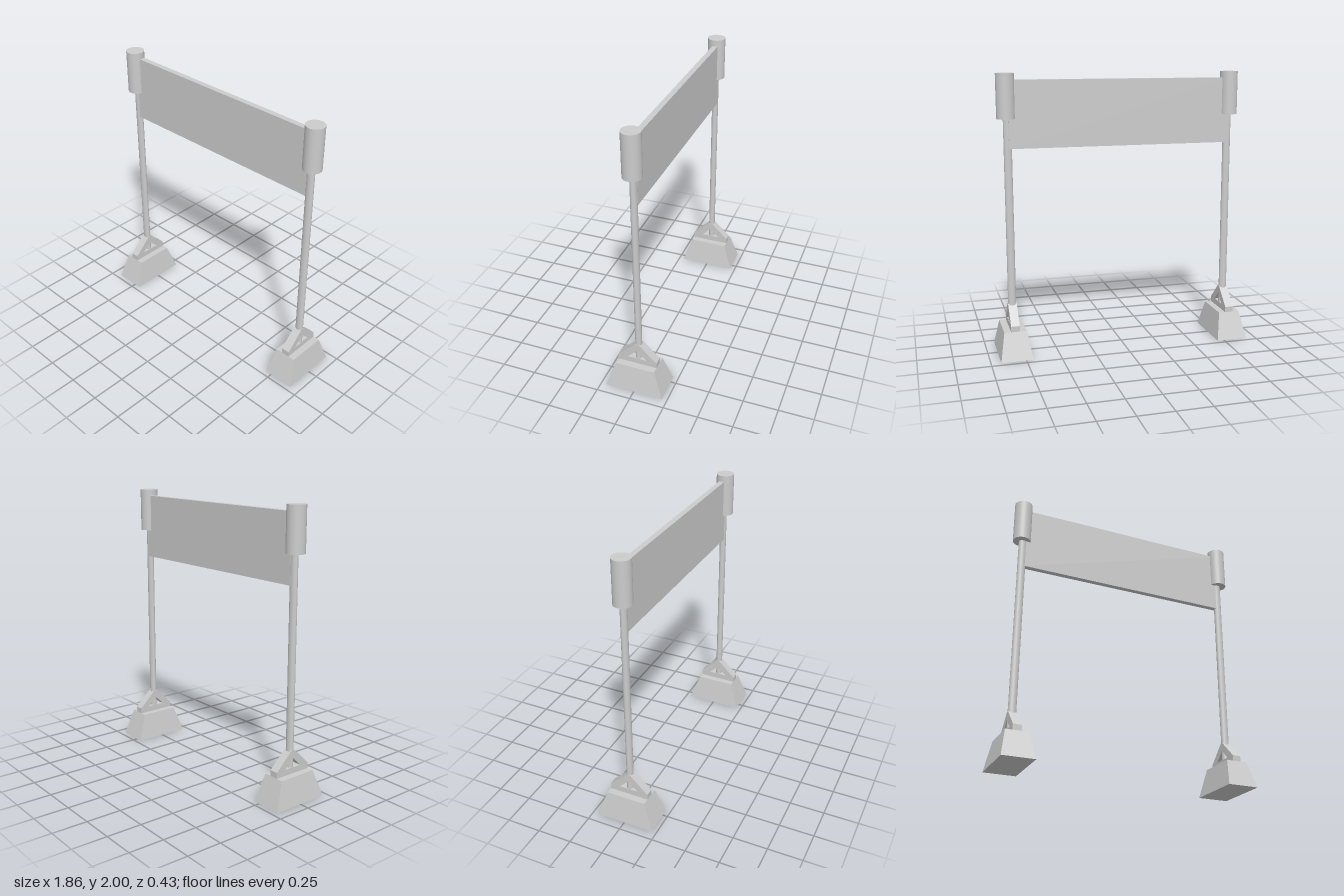
import * as THREE from 'three';

const grey = new THREE.MeshStandardMaterial({ color: 0xcccccc });
const flat = new THREE.MeshStandardMaterial({ color: 0xcccccc, flatShading: true });

function add(parent, name, geometry, material, x, y, z) {
  const mesh = new THREE.Mesh(geometry, material);
  mesh.name = name;
  mesh.position.set(x, y, z);
  parent.add(mesh);
  return mesh;
}

// Box whose top face is narrowed to the given size
function taperedBlock(w, h, d, topW, topD) {
  const geo = new THREE.BoxGeometry(w, h, d);
  const p = geo.attributes.position;
  for (let i = 0; i < p.count; i++) {
    if (p.getY(i) > 0) p.setXYZ(i, p.getX(i) * topW / w, p.getY(i), p.getZ(i) * topD / d);
  }
  geo.computeVertexNormals();
  return geo;
}

// Triangular brace with a triangular opening, extruded across x
function braceGeometry(width) {
  const points = (list) => list.map(([a, b]) => new THREE.Vector2(a, b));
  const shape = new THREE.Shape(points([
    [-0.144, 0.195], [0.144, 0.195], [0.144, 0.237], [0.012, 0.365], [-0.012, 0.365], [-0.144, 0.237],
  ]));
  shape.holes.push(new THREE.Path(points([[-0.07, 0.239], [0, 0.31], [0.07, 0.239]])));
  const geo = new THREE.ExtrudeGeometry(shape, { depth: width, bevelEnabled: false });
  geo.translate(0, 0, -width / 2);
  geo.rotateY(Math.PI / 2);
  return geo;
}

export function createModel() {
  const model = new THREE.Group();
  model.name = 'bannerGate';

  for (const side of [1, -1]) {
    const stand = new THREE.Group();
    stand.name = side > 0 ? 'leftStand' : 'rightStand';
    model.add(stand);
    const x = side * 0.814;

    // Weighted foot and brace
    add(stand, 'foot', taperedBlock(0.23, 0.196, 0.425, 0.16, 0.288), flat, x, 0.098, 0);
    add(stand, 'brace', braceGeometry(0.062), flat, x, 0, 0);

    // Slightly oval post, running down into the brace opening
    const post = add(stand, 'post', new THREE.CylinderGeometry(1, 1, 1.7, 32), grey, x, 1.08, -0.002);
    post.scale.set(0.029, 1, 0.023);

    // Thick cap at the top of the post
    add(stand, 'cap', new THREE.CylinderGeometry(0.065, 0.065, 0.312, 32), grey, side * 0.822, 1.844, 0);
  }

  // Banner panel between the posts
  add(model, 'banner', new THREE.BoxGeometry(1.61, 0.473, 0.04), flat, 0, 1.718, -0.006);

  return model;
}
